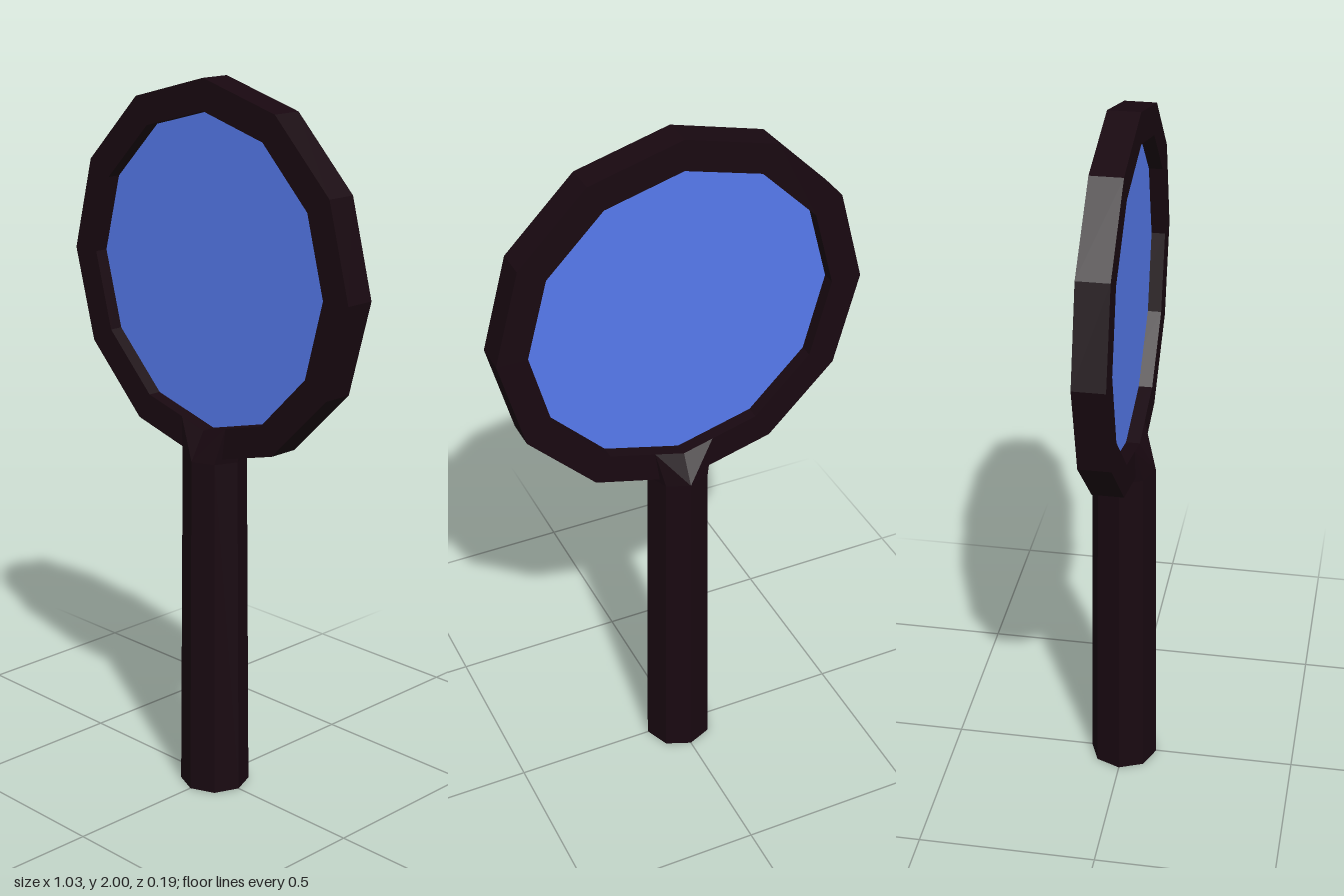
import * as THREE from 'three';

const HEAD_Y = 1.485, OUTER = 0.515, INNER = 0.43, HALF_DEPTH = 0.043;

// Twelve-sided outline, counterclockwise, with a corner at the top
function polygon(radius, PathType) {
  const points = [];
  for (let i = 0; i < 12; i++) {
    const a = (i / 12) * Math.PI * 2;
    points.push(new THREE.Vector2(-Math.sin(a) * radius, Math.cos(a) * radius));
  }
  return new PathType(points);
}

// Skin a list of eight-point rings, bottom to top, with a flat cap at the bottom.
// Diagonals alternate so that the facets mirror each other and bulge outward.
function loft(rings) {
  const n = rings[0].length, index = [];
  for (let r = 0; r < rings.length - 1; r++) {
    for (let i = 0; i < n; i++) {
      const a = r * n + i, b = r * n + (i + 1) % n;
      if (i % 2) index.push(a, a + n, b, b, a + n, b + n);
      else index.push(a, a + n, b + n, a, b + n, b);
    }
  }
  for (let i = 1; i < n - 1; i++) index.push(0, i, i + 1);
  const geometry = new THREE.BufferGeometry();
  geometry.setAttribute('position', new THREE.Float32BufferAttribute(rings.flat(2), 3));
  geometry.setIndex(index);
  const flat = geometry.toNonIndexed();
  flat.computeVertexNormals();
  return flat;
}

function octagon(radius, y) {
  return Array.from({ length: 8 }, (_, i) => {
    const a = (i / 8) * Math.PI * 2;
    return [Math.cos(a) * radius, y, Math.sin(a) * radius];
  });
}

export function createModel() {
  const group = new THREE.Group();
  const frameMaterial = new THREE.MeshStandardMaterial({ color: 0x180810, flatShading: true });
  const glassMaterial = new THREE.MeshStandardMaterial({ color: 0x5579eb, flatShading: true });

  const add = (name, geometry, material, y = 0) => {
    const mesh = new THREE.Mesh(geometry, material);
    mesh.name = name;
    mesh.position.y = y;
    group.add(mesh);
  };

  // Frame around the glass
  const outline = polygon(OUTER, THREE.Shape);
  outline.holes.push(polygon(INNER, THREE.Path));
  const frame = new THREE.ExtrudeGeometry(outline, { depth: HALF_DEPTH * 2, bevelEnabled: false });
  frame.translate(0, 0, -HALF_DEPTH);
  add('frame', frame, frameMaterial, HEAD_Y);

  // Thin glass set in the middle of the frame
  const glass = new THREE.CylinderGeometry(INNER, INNER, 0.01, 12);
  glass.rotateX(Math.PI / 2);
  add('glass', glass, glassMaterial, HEAD_Y);

  // Handle, whose neck flattens to the frame's depth and follows its inner edge
  const neckTop = octagon(0.088, 0).map(([x, , z]) => {
    const wide = Math.abs(x) < 0.01 ? 0 : Math.sign(x) * 0.085;
    const deep = Math.abs(z) < 0.01 ? 0 : Math.sign(z) * HALF_DEPTH;
    return [wide, HEAD_Y - INNER + Math.abs(wide) * 0.268, deep];
  });
  add('handle', loft([octagon(0.097, 0), octagon(0.088, 0.975), neckTop]), frameMaterial);

  return group;
}
